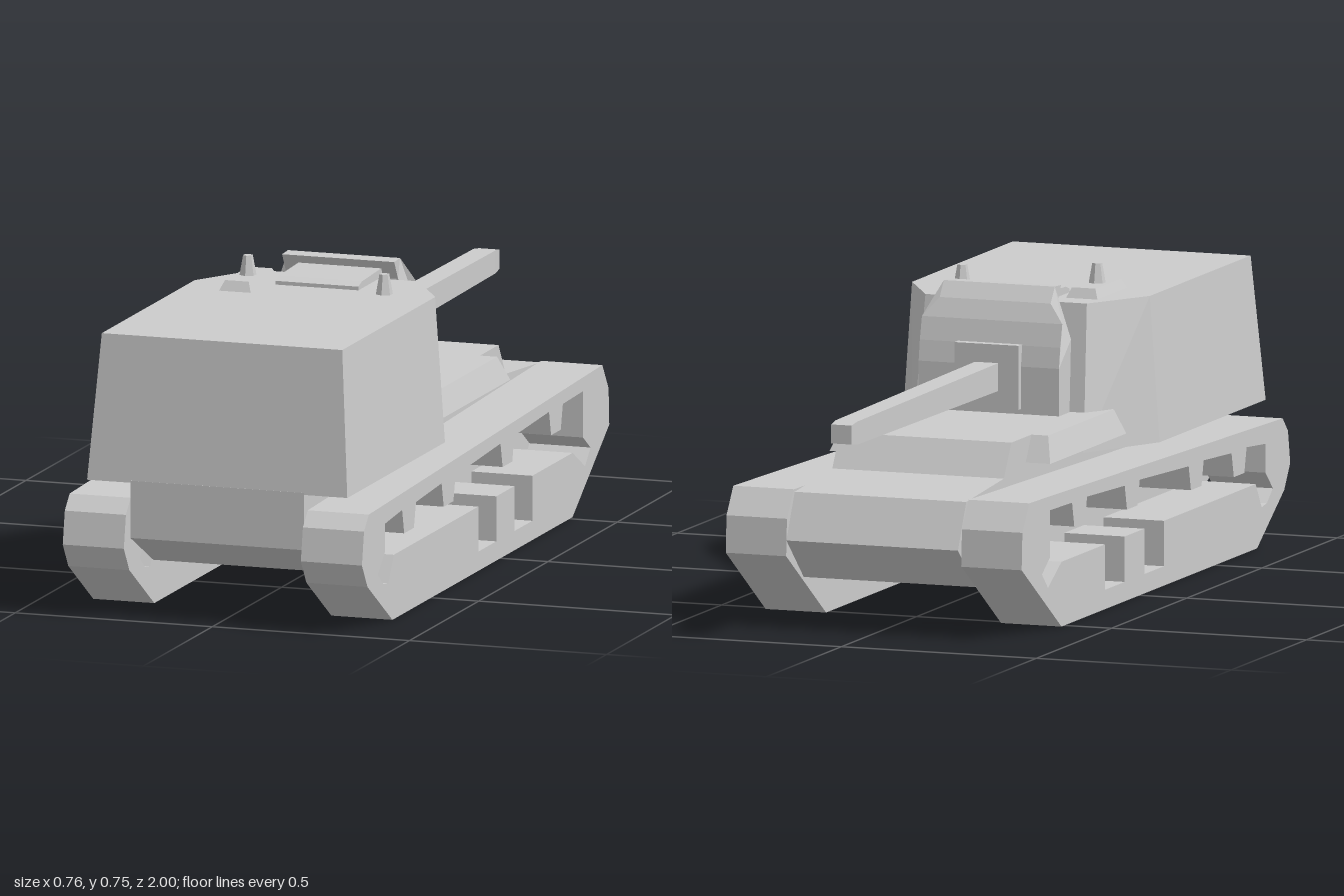
import * as THREE from 'three';
import { ConvexGeometry } from 'three/addons/geometries/ConvexGeometry.js';

const material = new THREE.MeshStandardMaterial({ color: 0xcccccc, flatShading: true });

function add(parent, name, geometry) {
  const mesh = new THREE.Mesh(geometry, material);
  mesh.name = name;
  parent.add(mesh);
  return mesh;
}

const toPoints = (list) => list.map(([z, y]) => new THREE.Vector2(z, y));

// Side profile in (z, y), extruded across x and centred on x = 0
function sideExtrude(profile, width, hole) {
  const shape = new THREE.Shape(toPoints(profile));
  if (hole) shape.holes.push(new THREE.Path(toPoints(hole)));
  const geometry = new THREE.ExtrudeGeometry(shape, { depth: width, bevelEnabled: false });
  return geometry.translate(0, 0, -width / 2).rotateY(-Math.PI / 2);
}

// Convex solid between two horizontal outlines given in (x, z)
function loft(y0, bottom, y1, top) {
  const points = [];
  bottom.forEach(([x, z]) => points.push(new THREE.Vector3(x, y0, z)));
  top.forEach(([x, z]) => points.push(new THREE.Vector3(x, y1, z)));
  return new ConvexGeometry(points);
}

const rect = (x0, x1, z0, z1) => [[x0, z0], [x1, z0], [x1, z1], [x0, z1]];
const mirrored = (half) => [...half, ...half.map(([x, z]) => [-x, z])];

export function createModel() {
  const model = new THREE.Group();
  model.name = 'tank';

  // Hull with a stepped deck, tapered nose and bevelled tail
  add(model, 'hull', sideExtrude([
    [0.8, 0.11], [0.965, 0.195], [0.965, 0.335], [0.2, 0.335], [0.16, 0.425],
    [-0.44, 0.425], [-0.49, 0.345], [-0.74, 0.325], [-0.795, 0.215], [-0.68, 0.11],
  ], 0.44));

  // Tracks: faceted loops with the wheel gaps cut through
  const trackProfile = [
    [0.78, 0], [0.96, 0.115], [1, 0.175], [0.985, 0.255], [0.95, 0.29],
    [-0.6, 0.327], [-0.735, 0.33], [-0.78, 0.265], [-0.785, 0.175], [-0.52, 0],
  ];
  const gaps = [[0.885, 0.13], [0.835, 0.175], [0.835, 0.245]];
  // Return-roller brackets hang from the upper run
  [[0.66, 0.255], [0.375, 0.265], [-0.05, 0.28], [-0.4, 0.29]].forEach(([z, y]) => {
    gaps.push([z + 0.05, y], [z + 0.035, y - 0.06], [z - 0.035, y - 0.06], [z - 0.05, y]);
  });
  gaps.push(
    [-0.595, 0.293], [-0.595, 0.18], [-0.65, 0.145], [-0.61, 0.107], [-0.52, 0.157],
    [-0.23, 0.157], [-0.23, 0.047], [-0.1, 0.047], [-0.1, 0.157],
    [0.03, 0.157], [0.03, 0.047], [0.16, 0.047], [0.16, 0.157],
    [0.77, 0.157], [0.81, 0.095], [0.845, 0.1],
  );
  for (const side of [1, -1]) {
    const label = side > 0 ? 'left' : 'right';
    add(model, label + 'Track', sideExtrude(trackProfile, 0.155, gaps)).position.x = side * 0.302;

    // Sloped stowage box beside the deck
    const flip = (outline) => outline.map(([x, z]) => [x * side, z]);
    add(model, label + 'SideBox', loft(
      0.363, flip(rect(0.2, 0.283, -0.345, 0.16)),
      0.425, flip(rect(0.2, 0.263, -0.307, 0.13)),
    ));
  }

  // Turret
  const turret = new THREE.Group();
  turret.name = 'turret';
  model.add(turret);
  add(turret, 'turretBody', loft(
    0.33, mirrored([[0.33, 0.965], [0.33, 0.26], [0.22, 0.04]]),
    0.683, mirrored([[0.305, 0.93], [0.305, 0.26], [0.207, 0.095]]),
  ));

  // Curved gun shield, narrowed where it rises past the roof
  const shield = sideExtrude([
    [0.05, 0.425], [-0.02, 0.425], [-0.02, 0.54], [-0.012, 0.59], [0.002, 0.645],
    [0.022, 0.69], [0.05, 0.727], [0.092, 0.725], [0.065, 0.68], [0.06, 0.6],
  ], 0.36);
  const position = shield.attributes.position;
  for (let i = 0; i < position.count; i++) {
    if (position.getY(i) > 0.67) position.setX(i, position.getX(i) * 0.79);
  }
  shield.computeVertexNormals();
  add(turret, 'gunShield', shield);
  add(turret, 'gunCollar', new THREE.BoxGeometry(0.165, 0.155, 0.04)).position.set(0, 0.515, -0.015);

  // Square barrel, slightly tapered with a chamfered muzzle
  const barrel = [];
  [[0, 0.03, 0.034], [-0.965, 0.028, 0.028], [-1, 0.026, 0.023]].forEach(([z, w, h]) => {
    for (const sx of [-1, 1]) for (const sy of [-1, 1]) {
      barrel.push(new THREE.Vector3(sx * w, 0.514 + sy * h, z));
    }
  });
  add(turret, 'gunBarrel', new ConvexGeometry(barrel));

  // Roof plate, hatch and periscopes
  add(turret, 'roofPlate', sideExtrude([
    [0.245, 0.675], [0.245, 0.692], [0.22, 0.7], [0.075, 0.705], [0.075, 0.675],
  ], 0.21));
  add(turret, 'hatch', loft(
    0.68, rect(-0.21, -0.127, 0.16, 0.36),
    0.707, rect(-0.198, -0.138, 0.175, 0.345),
  ));
  [[-0.168, 0.705], [0.178, 0.682]].forEach(([x, y]) => {
    add(turret, 'periscope', new THREE.CylinderGeometry(0.012, 0.021, 0.05, 6))
      .position.set(x, y + 0.025, 0.265);
  });

  return model;
}
